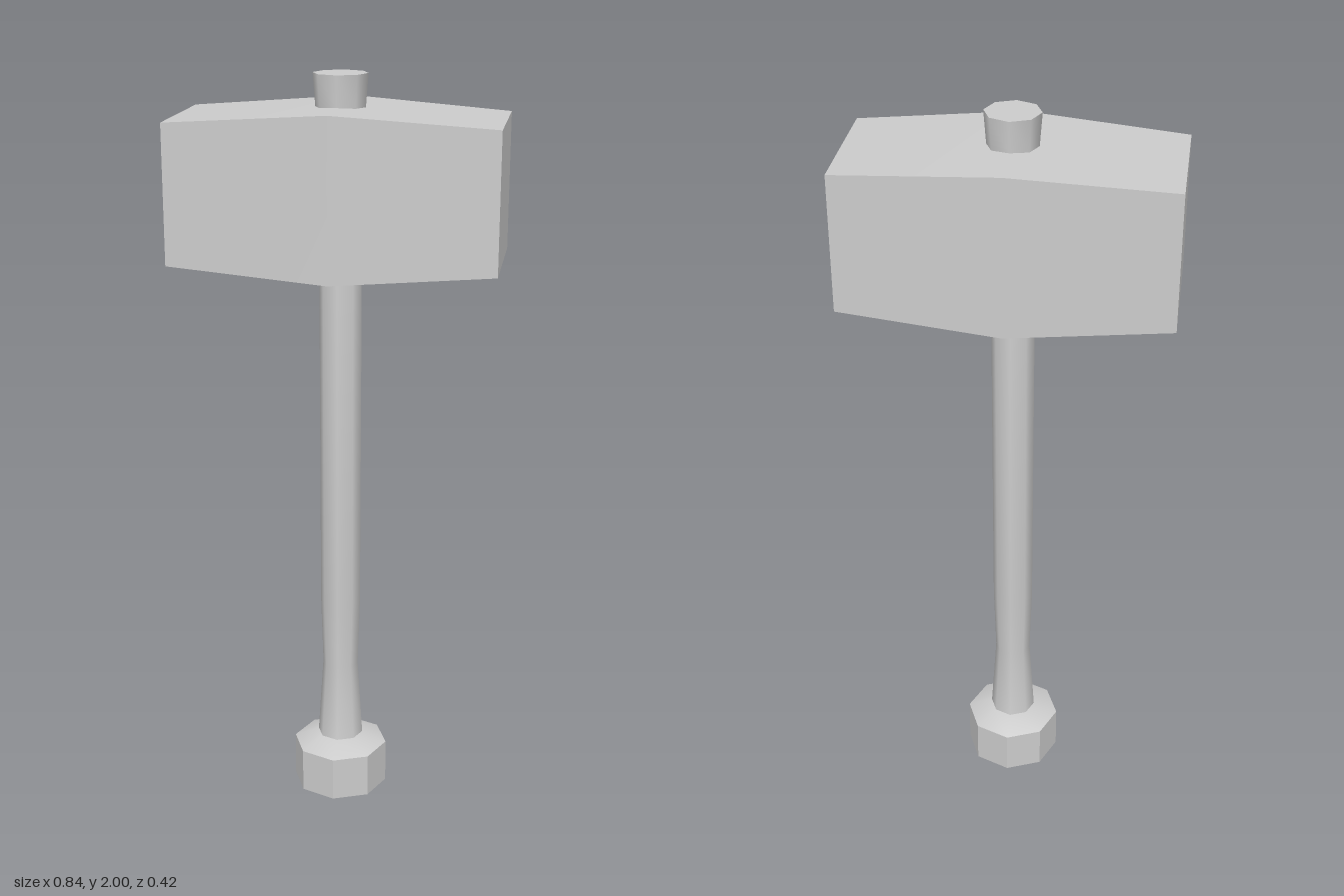
import * as THREE from 'three';
import { toCreasedNormals } from 'three/addons/utils/BufferGeometryUtils.js';

const material = new THREE.MeshStandardMaterial({ color: 0xcccccc });

function addPart(group, name, geometry, crease) {
  const mesh = new THREE.Mesh(toCreasedNormals(geometry, crease), material);
  mesh.name = name;
  group.add(mesh);
  return mesh;
}

// Eight-sided turned part from [radius, height] pairs, bottom to top
function turned(profile) {
  return new THREE.LatheGeometry(profile.map(([r, y]) => new THREE.Vector2(r, y)), 8);
}

export function createModel() {
  const group = new THREE.Group();
  group.name = 'sledgehammer';

  // Head: a block that tapers from its middle to both striking faces
  const block = new THREE.BoxGeometry(0.84, 0.418, 0.418, 2, 1, 1);
  const pos = block.attributes.position;
  for (let i = 0; i < pos.count; i++) {
    const s = 1 - 0.14 * Math.abs(pos.getX(i)) / 0.42;
    pos.setY(i, pos.getY(i) * s);
    pos.setZ(i, pos.getZ(i) * s);
  }
  addPart(group, 'head', block, 0.5).position.y = 1.711;

  // Handle: waisted above the pommel, flared where it leaves the head
  addPart(group, 'handle', turned([
    [0.065, 0.14], [0.063, 0.15], [0.049, 0.37], [0.055, 0.56],
    [0.056, 1.47], [0.053, 1.51], [0.065, 1.92], [0.071, 2], [0, 2],
  ]), 1);

  // Pommel: octagonal block with a sloped shoulder
  addPart(group, 'pommel', turned([
    [0, 0], [0.131, 0], [0.131, 0.122], [0.063, 0.15], [0, 0.15],
  ]), 0.5);

  return group;
}
